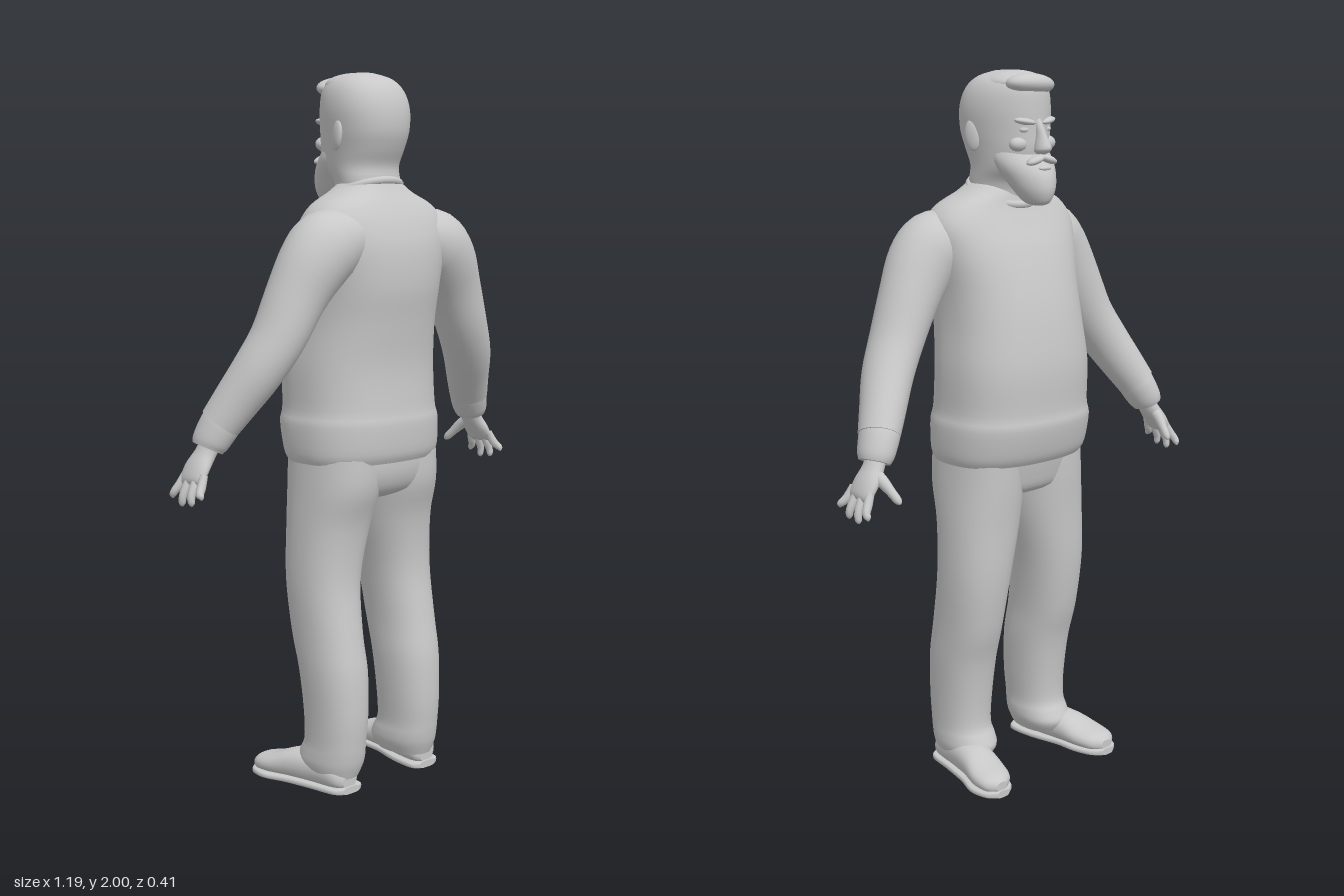
import * as THREE from 'three';

const V = (x, y, z) => new THREE.Vector3(x, y, z);
const UP = V(0, 1, 0);
const FORWARD = V(0, 0, -1); // the figure looks along -z

// Smooth value between rows at parameter t (0..rows-1)
function sample(rows, t) {
  const n = rows.length - 1, i = Math.min(Math.floor(t), n - 1), f = t - i;
  const [a, b, c, d] = [i - 1, i, i + 1, i + 2].map(k => rows[Math.max(0, Math.min(n, k))]);
  return b.map((_, k) => 0.5 * (2 * b[k] + (c[k] - a[k]) * f
    + (2 * a[k] - 5 * b[k] + 4 * c[k] - d[k]) * f * f
    + (3 * b[k] - a[k] - 3 * c[k] + d[k]) * f * f * f));
}

// Closed skin over superellipse sections [x, y, z, halfWidth, halfDepth]
function loft(rows, { axis = null, ref = V(0, 0, 1), power = 2, sides = 32, steps = 4, taper = 0 } = {}) {
  const rings = (rows.length - 1) * steps, pos = [], idx = [];
  const S = [];
  for (let i = 0; i <= rings; i++) S.push(sample(rows, i / steps));
  const ring = [];
  S.forEach((s, i) => {
    const p = S[Math.max(0, i - 1)], q = S[Math.min(rings, i + 1)];
    const t = axis ? axis.clone() : V(q[0] - p[0], q[1] - p[1], q[2] - p[2]).normalize();
    const v = ref.clone().addScaledVector(t, -ref.dot(t)).normalize();
    const u = v.clone().cross(t);
    for (let j = 0; j < sides; j++) {
      const a = j / sides * Math.PI * 2, c = Math.cos(a), d = Math.sin(a);
      const w = Math.sign(c) * Math.abs(c) ** (2 / power) * (1 + taper * d);
      const h = Math.sign(d) * Math.abs(d) ** (2 / power);
      const pt = V(s[0], s[1], s[2]).addScaledVector(u, w * s[3]).addScaledVector(v, h * s[4]);
      ring.push(pt);
      pos.push(pt.x, pt.y, pt.z);
    }
  });
  for (let i = 0; i < rings; i++) for (let j = 0; j < sides; j++) {
    const a = i * sides + j, b = i * sides + (j + 1) % sides;
    idx.push(a, b, b + sides, a, b + sides, a + sides);
  }
  // End caps with their own vertices keep the rims sharp
  for (const i of [0, rings]) {
    const base = pos.length / 3;
    pos.push(S[i][0], S[i][1], S[i][2]);
    for (let j = 0; j < sides; j++) pos.push(...ring[i * sides + j].toArray());
    for (let j = 0; j < sides; j++) {
      const a = base + 1 + j, b = base + 1 + (j + 1) % sides;
      if (i) idx.push(base, a, b); else idx.push(base, b, a);
    }
  }
  const g = new THREE.BufferGeometry();
  g.setAttribute('position', new THREE.Float32BufferAttribute(pos, 3));
  g.setIndex(idx);
  g.computeVertexNormals();
  return g;
}

// Horizontal sections from [y, halfWidth, zFront, zBack]
const level = rows => rows.map(([y, w, f, b]) => [0, y, (f + b) / 2, w, (b - f) / 2]);

export function createModel() {
  const man = new THREE.Group();
  man.name = 'standingMan';
  const clay = new THREE.MeshStandardMaterial({ color: 0xc8c8c8 });
  clay.name = 'light grey';
  const add = (name, geo) => {
    const m = new THREE.Mesh(geo, clay);
    m.name = name;
    man.add(m);
    return m;
  };
  const blob = (name, p, r, rot = [0, 0, 0]) => {
    const m = add(name, new THREE.SphereGeometry(1, 24, 16));
    m.position.set(...p);
    m.scale.set(...r);
    m.rotation.set(...rot);
  };

  // Sweater body with a gathered hem
  add('sweaterBody', loft(level([
    [0.935, 0.222, -0.15, 0.172], [0.965, 0.231, -0.167, 0.184], [1.04, 0.233, -0.184, 0.188],
    [1.085, 0.224, -0.18, 0.181], [1.2, 0.222, -0.182, 0.175], [1.32, 0.211, -0.166, 0.188],
    [1.42, 0.213, -0.142, 0.203], [1.52, 0.23, -0.108, 0.2], [1.59, 0.235, -0.075, 0.18],
    [1.64, 0.2, -0.052, 0.155], [1.675, 0.13, -0.042, 0.132], [1.7, 0.092, -0.03, 0.118],
  ]), { axis: UP, power: 2.4, sides: 48 }));

  // Ribbed neckline, lower at the front
  const collar = add('collar', new THREE.TorusGeometry(0.094, 0.011, 10, 40));
  collar.position.set(0, 1.675, 0.032);
  collar.rotation.x = Math.PI / 2 - 0.38;
  collar.scale.set(1.05, 0.95, 1);

  // Seat of the trousers
  add('trouserSeat', loft(level([
    [0.825, 0.1, -0.06, 0.09], [0.85, 0.19, -0.11, 0.14], [0.9, 0.216, -0.128, 0.162], [0.96, 0.216, -0.14, 0.165],
  ]), { axis: UP, power: 2.5 }));

  // Neck, head and cropped hair
  add('head', loft(level([
    [1.62, 0.088, -0.04, 0.1], [1.7, 0.094, -0.055, 0.11], [1.745, 0.097, -0.1, 0.108],
    [1.79, 0.103, -0.116, 0.128], [1.84, 0.111, -0.116, 0.144], [1.9, 0.115, -0.115, 0.143],
    [1.95, 0.104, -0.11, 0.125], [1.982, 0.077, -0.09, 0.092], [1.998, 0.03, -0.045, 0.045],
  ]), { axis: UP, power: 2.15, sides: 40, taper: 0.14 }));
  blob('quiff', [0, 1.963, -0.078], [0.078, 0.029, 0.046], [0.12, 0, 0.06]);
  blob('hairTop', [0, 1.965, -0.01], [0.088, 0.035, 0.09]);

  // Full beard, moustache and lower lip
  add('beard', loft(level([
    [1.645, 0.012, -0.128, -0.1], [1.654, 0.034, -0.148, -0.075], [1.685, 0.056, -0.159, -0.045],
    [1.72, 0.073, -0.154, -0.015], [1.75, 0.086, -0.138, 0.01], [1.775, 0.09, -0.118, 0.02],
    [1.8, 0.085, -0.1, 0.02],
  ]), { axis: UP, power: 2.1, taper: 0.2 }));
  blob('lowerLip', [0, 1.745, -0.138], [0.022, 0.007, 0.009]);

  // Nose
  add('nose', loft(level([
    [1.782, 0.008, -0.14, -0.1], [1.79, 0.02, -0.153, -0.1], [1.802, 0.02, -0.157, -0.1],
    [1.83, 0.013, -0.142, -0.1], [1.862, 0.011, -0.124, -0.1], [1.88, 0.008, -0.112, -0.1],
  ]), { axis: UP, sides: 16 }));

  for (const s of [1, -1]) {
    const side = s > 0 ? 'left' : 'right';
    const mir = rows => rows.map(r => [r[0] * s, ...r.slice(1)]);

    // Face details
    blob(side + 'Moustache', [0.022 * s, 1.767, -0.126], [0.031, 0.011, 0.018], [0, 0, -0.3 * s]);
    blob(side + 'Brow', [0.041 * s, 1.868, -0.104], [0.032, 0.009, 0.016], [0, -0.35 * s, 0.15 * s]);
    blob(side + 'Eye', [0.038 * s, 1.846, -0.098], [0.017, 0.009, 0.012]);
    blob(side + 'Cheek', [0.05 * s, 1.808, -0.088], [0.028, 0.02, 0.022]);
    blob(side + 'Ear', [0.111 * s, 1.828, 0.03], [0.011, 0.042, 0.024], [0.15, 0.3 * s, 0]);

    // Sleeve and cuff
    add(side + 'Sleeve', loft(mir([
      [0.13, 1.55, 0.08, 0.08, 0.09], [0.2, 1.53, 0.085, 0.1, 0.1], [0.25, 1.485, 0.085, 0.096, 0.095],
      [0.3, 1.405, 0.075, 0.083, 0.085], [0.355, 1.295, 0.062, 0.071, 0.08], [0.405, 1.21, 0.038, 0.066, 0.075],
      [0.45, 1.13, 0.002, 0.06, 0.066], [0.484, 1.07, -0.025, 0.054, 0.06],
    ])));
    add(side + 'Cuff', loft(mir([
      [0.468, 1.095, -0.014, 0.048, 0.052], [0.482, 1.07, -0.024, 0.052, 0.059],
      [0.505, 1.025, -0.038, 0.047, 0.055], [0.514, 1.005, -0.042, 0.04, 0.047],
    ])));

    // Hand
    add(side + 'Palm', loft(mir([
      [0.5, 1.03, -0.036, 0.026, 0.032], [0.52, 0.99, -0.044, 0.025, 0.035],
      [0.545, 0.955, -0.047, 0.022, 0.046], [0.563, 0.925, -0.045, 0.016, 0.046], [0.568, 0.913, -0.044, 0.006, 0.04],
    ]), { sides: 20 }));
    for (let f = 0; f < 4; f++) {
      const z = -0.08 + f * 0.025, fan = (f - 1.5) * 0.011, tip = [0.872, 0.855, 0.86, 0.882][f];
      add(side + 'Finger' + (f + 1), loft(mir([
        [0.556, 0.94, z, 0.011, 0.011], [0.571, 0.91, z + fan * 0.5, 0.0125, 0.0115],
        [0.583, (tip + 0.91) / 2, z + fan, 0.011, 0.0105], [0.584, tip + 0.008, z + fan * 1.4, 0.009, 0.009],
        [0.583, tip, z + fan * 1.5, 0.003, 0.003],
      ]), { sides: 10, steps: 3 }));
    }
    add(side + 'Thumb', loft(mir([
      [0.525, 0.985, -0.055, 0.016, 0.016], [0.522, 0.962, -0.088, 0.016, 0.017],
      [0.514, 0.938, -0.113, 0.012, 0.013], [0.508, 0.918, -0.134, 0.01, 0.011], [0.506, 0.91, -0.142, 0.003, 0.003],
    ]), { ref: V(0, 1, 0.4), sides: 12, steps: 3 }));

    // Trouser leg from [y, inner x, outer x, zFront, zBack]
    add(side + 'TrouserLeg', loft(mir([
      [0.042, 0.085, 0.212, -0.05, 0.128], [0.075, 0.07, 0.222, -0.068, 0.14], [0.105, 0.068, 0.222, -0.056, 0.146],
      [0.14, 0.071, 0.22, -0.04, 0.15], [0.22, 0.066, 0.222, -0.042, 0.156], [0.34, 0.06, 0.228, -0.058, 0.151],
      [0.45, 0.06, 0.23, -0.088, 0.132], [0.6, 0.045, 0.234, -0.11, 0.11], [0.75, 0.014, 0.23, -0.118, 0.122],
      [0.86, 0, 0.224, -0.126, 0.155], [0.95, -0.004, 0.218, -0.13, 0.16],
    ].map(([y, a, b, f, k]) => [(a + b) / 2, y, (f + k) / 2, (b - a) / 2, (k - f) / 2])), { axis: UP, power: 2.25 }));

    // Shoe upper and sole, turned slightly outwards
    add(side + 'Shoe', loft(mir([
      [0.155, 0.035, 0.125, 0.025, 0.02], [0.158, 0.048, 0.1, 0.05, 0.04], [0.168, 0.053, 0.02, 0.053, 0.048],
      [0.183, 0.051, -0.06, 0.056, 0.044], [0.197, 0.04, -0.125, 0.06, 0.032],
      [0.205, 0.034, -0.175, 0.048, 0.025], [0.207, 0.03, -0.198, 0.018, 0.014],
    ]), { axis: FORWARD, ref: UP, power: 2.2, sides: 24 }));
    add(side + 'Sole', loft(mir([
      [0.153, 0.01, 0.132, 0.03, 0.01], [0.155, 0.01, 0.11, 0.054, 0.01], [0.165, 0.01, 0.03, 0.058, 0.01],
      [0.186, 0.01, -0.06, 0.056, 0.01], [0.2, 0.01, -0.125, 0.064, 0.01],
      [0.206, 0.01, -0.18, 0.05, 0.01], [0.207, 0.01, -0.205, 0.02, 0.01],
    ]), { axis: FORWARD, ref: UP, power: 4, sides: 24 }));
  }
  return man;
}
